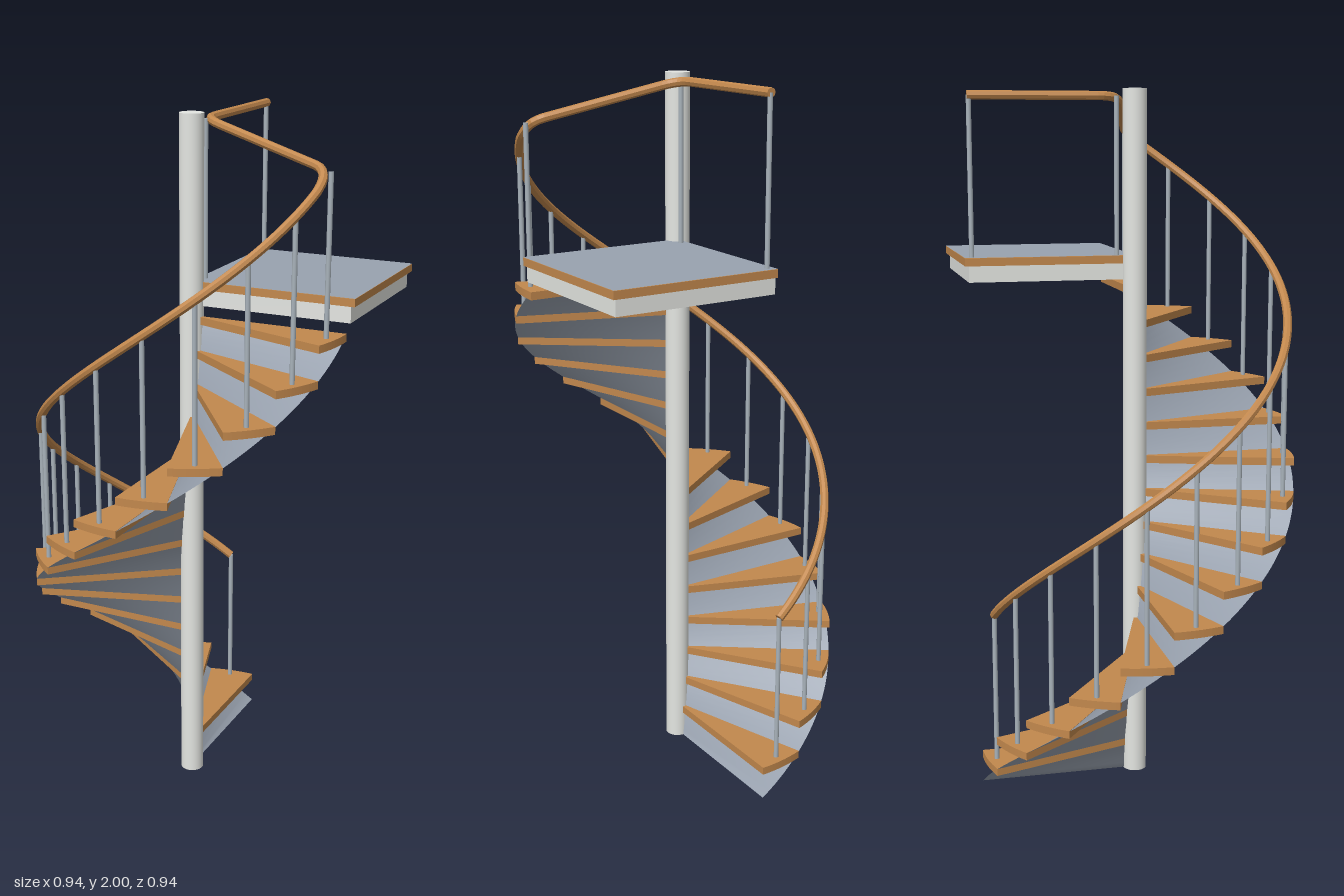
import * as THREE from 'three';

const CX = -0.01, CZ = 0.008;          // column axis
const R = 0.46, RAIL_R = 0.433;        // stair and handrail radii
const STEPS = 15, RISE = 0.0963, THICK = 0.022;
const STEP_ANGLE = THREE.MathUtils.degToRad(18);
const DECK_Y = RISE * (STEPS + 1);
const RAIL_LIFT = 0.485;

const mat = (name, color, extra = {}) => {
  const m = new THREE.MeshStandardMaterial({ color, ...extra });
  m.name = name;
  return m;
};

// Point on the spiral: t counts steps, starting at the back and turning over the right side
const spiral = (t, r, lift = 0) => new THREE.Vector3(
  -r * Math.sin(t * STEP_ANGLE), t * RISE + lift, -r * Math.cos(t * STEP_ANGLE));

export function createModel() {
  const wood = mat('wood', 0xc2884d);
  const paleGrey = mat('pale grey', 0xe4e6e2);
  const steel = mat('steel', 0xa9b3bb);
  const slate = mat('slate', 0x99a2af, { side: THREE.DoubleSide });

  const model = new THREE.Group();
  model.name = 'spiralStaircase';
  const stair = new THREE.Group();
  stair.name = 'stair';
  stair.position.set(CX, 0, CZ);
  model.add(stair);

  const add = (name, geometry, material, x = 0, y = 0, z = 0) => {
    const mesh = new THREE.Mesh(geometry, material);
    mesh.name = name;
    mesh.position.set(x, y, z);
    stair.add(mesh);
    return mesh;
  };

  // Central column
  add('column', new THREE.CylinderGeometry(0.034, 0.034, 2, 32), paleGrey, 0, 1, 0);

  // Wedge treads
  const wedge = new THREE.Shape();
  wedge.moveTo(0, 0);
  wedge.lineTo(0, R);
  wedge.absarc(0, 0, R, Math.PI / 2, Math.PI / 2 + STEP_ANGLE, false);
  wedge.lineTo(0, 0);
  const treadGeo = new THREE.ExtrudeGeometry(wedge, { depth: THICK, bevelEnabled: false, curveSegments: 6 });
  treadGeo.rotateX(-Math.PI / 2);
  for (let i = 0; i < STEPS; i++) {
    add('tread', treadGeo, wood, 0, (i + 1) * RISE - THICK, 0).rotation.y = i * STEP_ANGLE;
  }

  // Sloping sheet under the treads
  const sheet = new THREE.PlaneGeometry(1, 1, 1, STEPS * 6);
  const pos = sheet.attributes.position;
  for (let i = 0; i < pos.count; i++) {
    const p = spiral((pos.getY(i) + 0.5) * STEPS, pos.getX(i) > 0 ? R : 0.01, -0.001);
    pos.setXYZ(i, p.x, Math.max(p.y, 0), p.z);
  }
  sheet.computeVertexNormals();
  add('underside', sheet, slate);

  // Landing: slab, wooden deck and thin floor covering
  const W = 0.48;
  add('landingSlab', new THREE.BoxGeometry(W - 0.01, 0.045, W - 0.01), paleGrey,
    (W - 0.01) / 2, DECK_Y - THICK - 0.0225, -(W - 0.01) / 2);
  add('landingDeck', new THREE.BoxGeometry(W, THICK, W), wood, W / 2, DECK_Y - THICK / 2, -W / 2);
  const cover = new THREE.PlaneGeometry(W, W).rotateX(-Math.PI / 2);
  add('landingCover', cover, slate, W / 2, DECK_Y + 0.001, -W / 2);

  // Handrail: spiral, rounded corner, straight run to the column, rounded corner, landing run
  const railTop = 1.98;
  const helix = [];
  for (let t = 0.5; t <= 14.01; t += 0.25) helix.push(spiral(t, RAIL_R, RAIL_LIFT));
  const start = helix[helix.length - 1];
  const cornerA = spiral(14.5, RAIL_R, RAIL_LIFT);
  const cornerB = new THREE.Vector3(0.019, railTop, -0.045);
  const end = new THREE.Vector3(0.019, railTop, -0.464);
  const a2 = cornerA.clone().lerp(cornerB, 0.12);
  const b1 = cornerB.clone().lerp(cornerA, 0.13);
  const b2 = cornerB.clone().lerp(end, 0.13);
  const path = new THREE.CurvePath();
  path.add(new THREE.CatmullRomCurve3(helix));
  path.add(new THREE.QuadraticBezierCurve3(start, cornerA, a2));
  path.add(new THREE.LineCurve3(a2, b1));
  path.add(new THREE.QuadraticBezierCurve3(b1, cornerB, b2));
  path.add(new THREE.LineCurve3(b2, end));
  const railGeo = new THREE.TubeGeometry(path, 200, 0.0125, 8).toNonIndexed();
  railGeo.computeVertexNormals();
  add('handrail', railGeo, wood);
  for (const [u, sign] of [[0, -1], [1, 1]]) {
    const p = path.getPointAt(u);
    const dir = path.getTangentAt(u).multiplyScalar(sign);
    const cap = add('handrailEnd', new THREE.CircleGeometry(0.0125, 8), wood, p.x, p.y, p.z);
    cap.quaternion.setFromUnitVectors(new THREE.Vector3(0, 0, 1), dir);
  }

  // Balusters: one per tread and two on the landing
  const baluster = (x, z, y0, y1) => add('baluster',
    new THREE.CylinderGeometry(0.007, 0.007, y1 - y0, 10), steel, x, (y0 + y1) / 2, z);
  for (let i = 0; i < STEPS; i++) {
    const p = spiral(i + 0.5, RAIL_R, RAIL_LIFT);
    baluster(p.x, p.z, (i + 1) * RISE, p.y);
  }
  baluster(0.019, -0.048, DECK_Y, railTop);
  baluster(0.019, -0.459, DECK_Y, railTop);

  return model;
}
